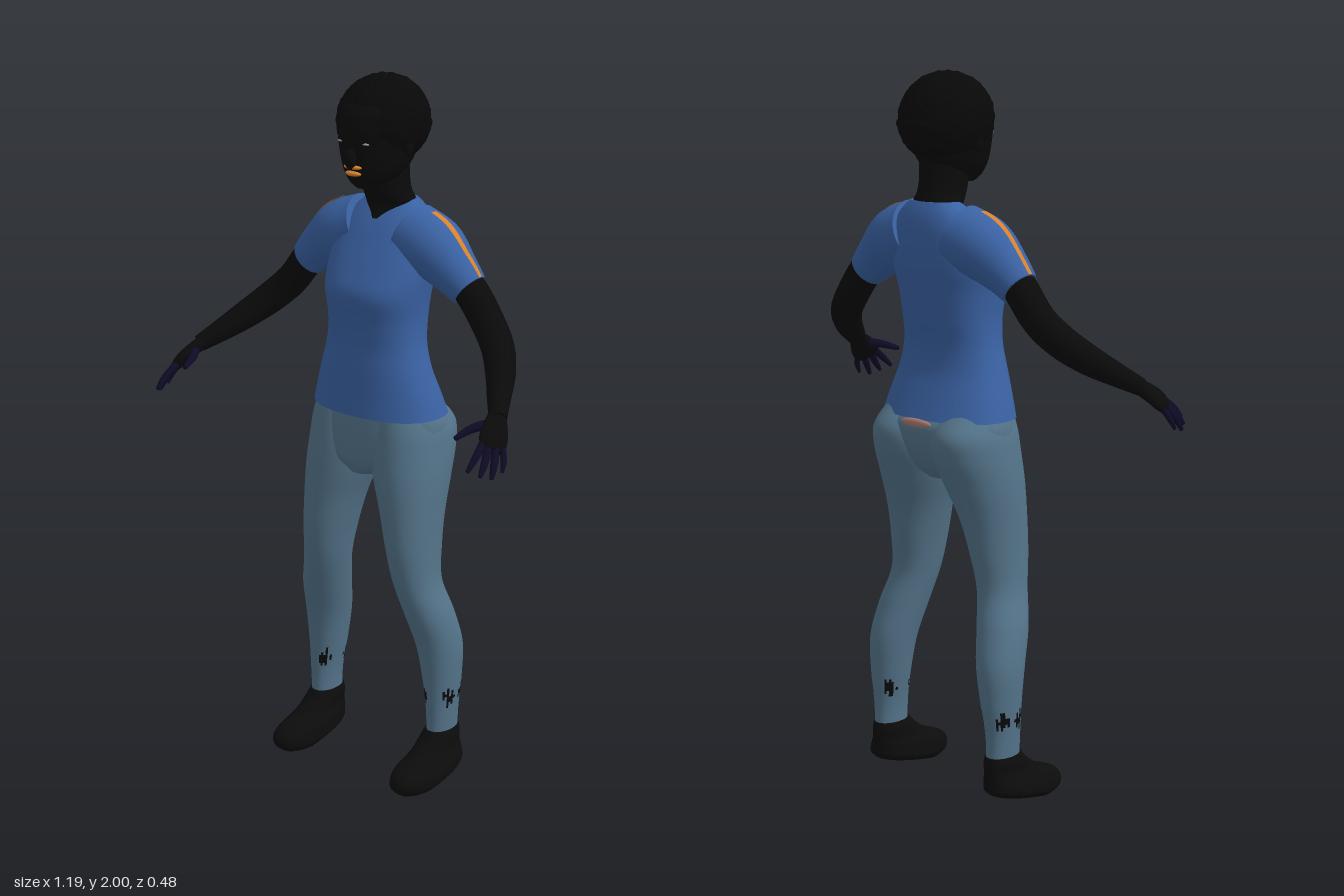
import * as THREE from 'three';

const V = (x, y, z) => new THREE.Vector3(x, y, z);
const mat = (name, color, side = THREE.FrontSide) => {
  const m = new THREE.MeshStandardMaterial({ color, side });
  m.name = name;
  return m;
};

// Skin a grid of points f(t, angle); full turns are closed and capped.
// Cells chosen by pick(point) go to the second material group.
function grid(rows, cols, f, { a0 = 0, a1 = Math.PI * 2, pick = null } = {}) {
  const full = a1 - a0 > 6.28;
  const n = full ? cols : cols + 1;
  const pts = [], main = [], extra = [];
  for (let i = 0; i <= rows; i++)
    for (let j = 0; j < n; j++) pts.push(f(i / rows, a0 + (a1 - a0) * j / cols));
  for (let i = 0; i < rows; i++)
    for (let j = 0; j < cols; j++) {
      const a = i * n + j, b = i * n + (j + 1) % n;
      (pick && pick(pts[a], j) ? extra : main).push(a, a + n, b, b, a + n, b + n);
    }
  if (full)
    for (const end of [0, rows]) {
      const base = pts.length, c = V(0, 0, 0);
      for (let j = 0; j < n; j++) {
        const p = pts[end * n + j].clone();
        c.addScaledVector(p, 1 / n);
        pts.push(p);
      }
      pts.push(c);
      for (let j = 0; j < n; j++) {
        const p = base + j, q = base + (j + 1) % n;
        main.push(base + n, ...(end ? [q, p] : [p, q]));
      }
    }
  const g = new THREE.BufferGeometry().setFromPoints(pts);
  g.setIndex([...main, ...extra]);
  if (pick) {
    g.addGroup(0, main.length, 0);
    g.addGroup(main.length, extra.length, 1);
  }
  g.computeVertexNormals();
  return g;
}

// Body form from horizontal sections [y, xMin, xMax, zFront, zBack].
function loft(sections, { rows = 40, cols = 40, power = 2.3, pick = null, warp = null } = {}) {
  const curve = new THREE.CubicInterpolant(sections.map(s => s[0]), sections.flatMap(s => s.slice(1)), 4);
  const lo = sections[0][0], hi = sections.at(-1)[0];
  const bend = v => Math.sign(v) * Math.abs(v) ** (2 / power);
  return grid(rows, cols, (t, a) => {
    const y = lo + (hi - lo) * t;
    const [x0, x1, zf, zb] = curve.evaluate(y);
    const p = V((x0 + x1) / 2 + (x1 - x0) / 2 * bend(Math.cos(a)), y, (zf + zb) / 2 + (zf - zb) / 2 * bend(Math.sin(a)));
    if (warp) warp(p);
    return p;
  }, { pick });
}
const sym = list => list.map(([y, hx, zf, zb]) => [y, -hx, hx, zf, zb]);

// Limb along a path of [x, y, z, radiusU, radiusV]; ref is the direction of radiusU.
function limb(path, ref, { rows = 24, cols = 20, t0 = 0, grow = 0, ...opts } = {}) {
  const curve = new THREE.CatmullRomCurve3(path.map(p => V(p[0], p[1], p[2])));
  const size = new THREE.CubicInterpolant(path.map((p, i) => i / (path.length - 1)),
    path.flatMap(p => [p[3], p[4] ?? p[3]]), 2);
  return grid(rows, cols, (s, a) => {
    const t = t0 + (1 - t0) * s;
    const T = curve.getTangent(t);
    const U = ref.clone().addScaledVector(T, -ref.dot(T)).normalize();
    const W = U.clone().cross(T);
    const [ru, rv] = size.evaluate(t);
    return curve.getPoint(t).addScaledVector(U, (ru + grow) * Math.cos(a)).addScaledVector(W, (rv + grow) * Math.sin(a));
  }, opts);
}

function ball(x, y, z, rx, ry, rz) {
  return new THREE.SphereGeometry(1, 20, 14).scale(rx, ry, rz).translate(x, y, z);
}

function mirror(g) {
  const m = g.clone().scale(-1, 1, 1);
  const idx = m.index.array;
  for (let i = 0; i < idx.length; i += 3) [idx[i], idx[i + 1]] = [idx[i + 1], idx[i]];
  m.computeVertexNormals();
  return m;
}

export function createModel() {
  const model = new THREE.Group();
  model.name = 'standingFigure';
  const skin = mat('skin', 0x0b0a0a), hairMat = mat('hair', 0x080808), shoeMat = mat('shoe', 0x0d0c0c);
  const shirt = mat('shirt', 0x3a62a3, THREE.DoubleSide), denim = mat('denim', 0x54748a);
  const orange = mat('orange', 0xd9802a, THREE.DoubleSide), finger = mat('finger', 0x0e0a26);
  const eyeMat = mat('eye', 0x8e98a4), pink = mat('waistPatch', 0xa87a72);

  const add = (name, g, m) => {
    const mesh = new THREE.Mesh(g, m);
    mesh.name = name;
    model.add(mesh);
  };
  const pair = (name, g, m) => {
    add(name + 'Left', g, m);
    add(name + 'Right', mirror(g), m);
  };

  // Shirt body
  add('shirtBody', loft(sym([
    [1.075, .205, .045, -.22], [1.13, .19, .04, -.2], [1.2, .168, .035, -.177], [1.27, .15, .03, -.172],
    [1.34, .145, .036, -.185], [1.42, .152, .047, -.2], [1.48, .16, .02, -.21], [1.55, .155, -.02, -.213],
    [1.6, .135, -.05, -.21], [1.64, .1, -.08, -.2], [1.66, .075, -.095, -.19]
  ])), shirt);

  // Sleeves with a stripe along the top
  const sleeve = [[.08, 1.57, -.125, .088], [.16, 1.54, -.12, .087], [.23, 1.49, -.116, .068], [.28, 1.447, -.116, .054]];
  const up = V(0, 1, 0);
  pair('sleeve', limb(sleeve, up, { cols: 28 }), shirt);
  pair('sleeveStripe', limb(sleeve, up, { cols: 2, t0: .18, grow: .0025, a0: -.11, a1: .11 }), orange);

  // Arms
  pair('arm', limb([
    [.22, 1.5, -.115, .045], [.28, 1.45, -.117, .047], [.345, 1.37, -.113, .046], [.4, 1.315, -.085, .045],
    [.45, 1.265, -.03, .04], [.49, 1.225, .03, .032], [.527, 1.19, .085, .024]
  ], V(0, 0, 1)), skin);

  // Hands
  const across = V(.45, -.2, -.87);
  pair('palm', limb([
    [.515, 1.2, .07, .022, .02], [.535, 1.175, .105, .034, .019], [.55, 1.15, .135, .04, .018], [.56, 1.13, .155, .034, .012]
  ], across), skin);
  const fingers = [
    ['thumb', [.522, 1.182, .105], [.492, 1.172, .15], [.476, 1.155, .2], .013],
    ['indexFinger', [.54, 1.145, .168], [.545, 1.118, .205], [.545, 1.09, .238], .011],
    ['middleFinger', [.552, 1.137, .16], [.565, 1.105, .192], [.57, 1.076, .217], .011],
    ['ringFinger', [.565, 1.132, .145], [.58, 1.098, .171], [.586, 1.066, .19], .011],
    ['littleFinger', [.573, 1.13, .125], [.587, 1.1, .139], [.592, 1.075, .152], .009]
  ];
  for (const [name, a, b, c, r] of fingers)
    pair(name, limb([[...a, r], [...b, r * .9], [...c, r * .5]], V(.8, .5, -.3), { rows: 8, cols: 10 }), finger);

  // Trousers: hips, then legs with ragged openings above the ankles
  add('hips', loft(sym([
    [.9, .05, .02, -.15], [.93, .12, .033, -.18], [.97, .18, .036, -.205], [1.02, .205, .035, -.222],
    [1.06, .203, .032, -.222], [1.1, .185, .028, -.19]
  ])), denim);
  const ragged = (p, j) => Math.abs(p.y - .247 - .006 * Math.sin(j * 5.3))
    < .026 * Math.sin(j * .471 + .4) + .012 * Math.sin(j * 2.7) - .004;
  pair('leg', loft([
    [.12, .18, .25, -.05, -.16], [.2, .176, .255, -.05, -.16], [.3, .16, .262, -.045, -.171],
    [.4, .143, .265, -.03, -.175], [.5, .122, .253, 0, -.152], [.6, .1, .226, .025, -.127],
    [.7, .08, .22, .04, -.14], [.8, .055, .22, .042, -.162], [.9, .022, .22, .042, -.2],
    [.98, .005, .215, .037, -.232], [1.04, .01, .206, .03, -.236], [1.1, .02, .18, .02, -.19]
  ], { rows: 110, cols: 48, power: 2.1, pick: ragged }), [denim, skin]);
  add('waistPatch', ball(0, 1.064, -.219, .055, .013, .009), pink);

  // Shoes, with the heels raised
  pair('shoe', loft([
    [0, .168, .27, .092, -.15], [.014, .156, .284, .107, -.163], [.04, .157, .283, .11, -.165],
    [.06, .16, .275, .092, -.165], [.085, .17, .262, .03, -.165], [.12, .172, .258, -.025, -.165],
    [.145, .178, .252, -.045, -.162]
  ], { rows: 24, power: 2.4, warp: p => { p.y += Math.max(0, .02 - p.z) * .2 * (1 - p.y / .145); } }), shoeMat);

  // Neck, filling the neckline
  add('neck', loft(sym([
    [1.612, .025, -.054, -.18], [1.63, .055, -.065, -.185], [1.655, .073, -.068, -.19],
    [1.68, .065, -.048, -.184], [1.71, .061, -.036, -.18], [1.76, .06, -.03, -.18]
  ]), { power: 2 }), skin);

  // Head and face
  add('head', loft(sym([
    [1.704, .028, .004, -.08], [1.72, .05, .022, -.13], [1.75, .074, .034, -.165], [1.79, .09, .04, -.19],
    [1.83, .099, .042, -.2], [1.88, .1, .048, -.2], [1.93, .092, .03, -.19], [1.965, .06, -.02, -.16]
  ]), { power: 2.1 }), skin);
  add('nose', ball(0, 1.79, .042, .017, .028, .018), skin);
  add('upperLip', ball(0, 1.768, .033, .03, .007, .014), orange);
  add('lowerLip', ball(0, 1.75, .031, .026, .008, .014), orange);
  pair('eye', ball(.04, 1.833, .031, .014, .003, .005), eyeMat);
  pair('ear', ball(.1, 1.82, -.08, .01, .03, .018), skin);

  // Short curly hair: a ball with fine bumps
  const hair = new THREE.SphereGeometry(1, 72, 48);
  const pos = hair.attributes.position;
  for (let i = 0; i < pos.count; i++) {
    const p = V().fromBufferAttribute(pos, i);
    const k = 1 + .022 * Math.sin(p.x * 21) * Math.sin(p.y * 23 + 1) * Math.sin(p.z * 22 + 2);
    const back = p.z < 0 && p.y < 0 ? 1.05 : 1;
    pos.setXYZ(i, p.x * .119 * k, 1.876 + p.y * .124 * k, -.097 + p.z * .139 * k * back);
  }
  hair.computeVertexNormals();
  add('hair', hair, hairMat);

  return model;
}
